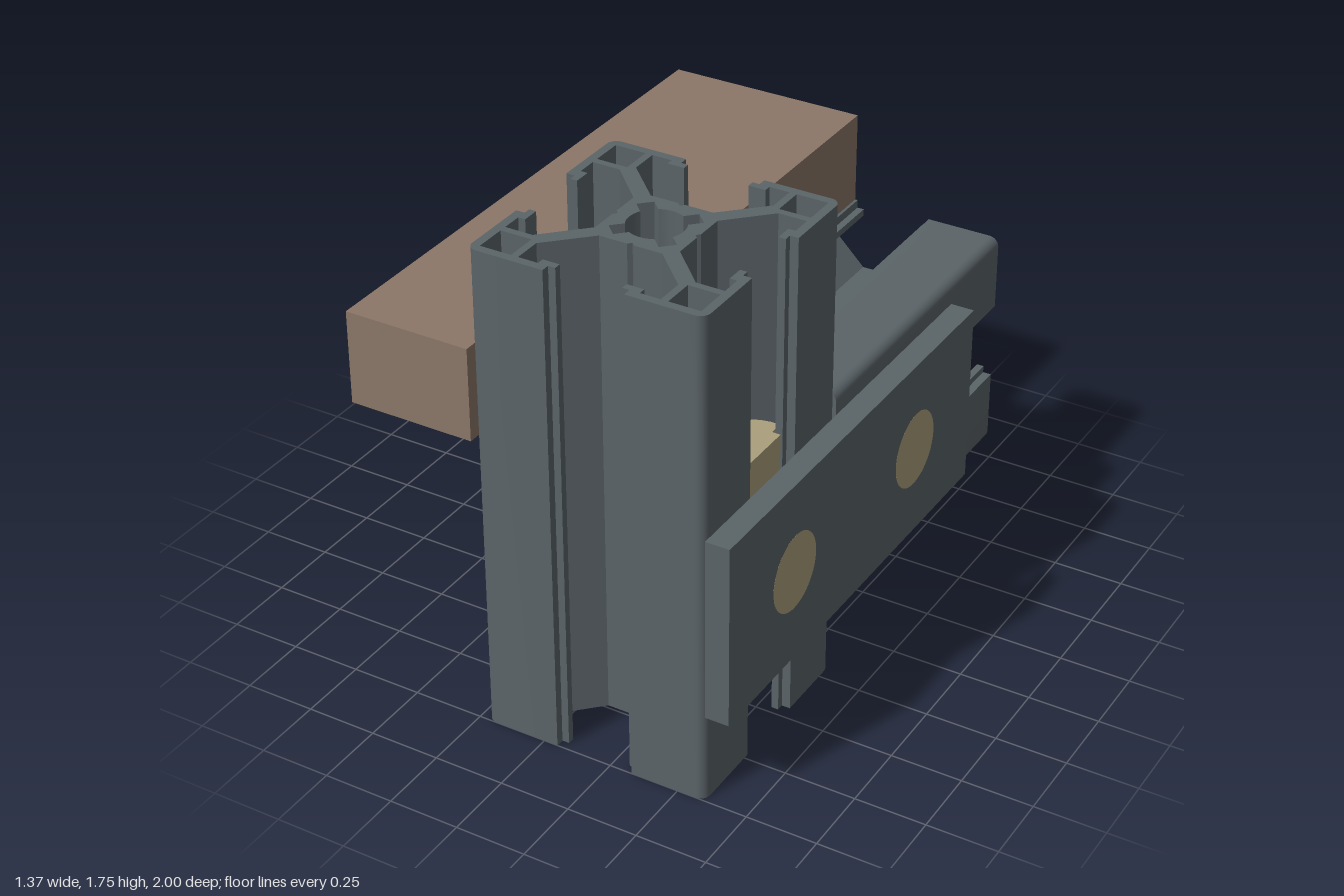
import * as THREE from 'three';
import { toCreasedNormals } from 'three/addons/utils/BufferGeometryUtils.js';

const V = (x, y) => new THREE.Vector2(x, y);
const CX = 0.19, CZ = 0.59, CY = 0.66; // axes of the two slotted beams

// Slotted beam section: one eighth, mirrored on the diagonal, turned four times
function beamShape() {
  const eighth = [
    [0.136, 0], [0.148, 0.012], [0.148, 0.11], [0.282, 0.245], [0.38, 0.245],
    [0.38, 0.175], [0.355, 0.175], [0.355, 0.115], [0.38, 0.115], [0.38, 0.14], [0.41, 0.14],
  ];
  for (let i = 0; i <= 3; i++) {
    const a = (i / 3) * Math.PI / 4, r = 0.035;
    eighth.push([0.41 - r + r * Math.cos(a), 0.41 - r + r * Math.sin(a)]);
  }
  const mirrored = eighth.slice(1, -1).reverse().map(([x, y]) => [y, x]);
  const quarter = [...eighth, ...mirrored].map(([x, y]) => V(x, y));
  const outline = [], core = [];
  for (let k = 0; k < 4; k++) {
    const turn = k * Math.PI / 2;
    outline.push(...quarter.map((p) => p.clone().rotateAround(V(0, 0), turn)));
    // Round bore with diagonal keyways
    const r = 0.095, w = 0.028, gap = Math.asin(w / r), diag = turn + Math.PI / 4;
    const inner = Math.sqrt(r * r - w * w);
    for (const [u, v] of [[inner, -w], [0.14, -w], [0.14, w], [inner, w]])
      core.push(V(u, v).rotateAround(V(0, 0), diag));
    for (let i = 1; i < 7; i++) {
      const a = diag + gap + (i / 7) * (Math.PI / 2 - 2 * gap);
      core.push(V(r * Math.cos(a), r * Math.sin(a)));
    }
  }
  const shape = new THREE.Shape(outline);
  shape.holes.push(new THREE.Path(core));
  // Square corner cavities
  for (const sx of [-1, 1]) for (const sy of [-1, 1])
    shape.holes.push(new THREE.Path(
      [[0.27, 0.27], [0.38, 0.27], [0.38, 0.38], [0.27, 0.38]].map(([x, y]) => V(sx * x, sy * y))));
  return shape;
}

// Slot nut section, neck towards +x
function nutShape() {
  const half = [[0.38, 0.075], [0.405, 0.105], [0.435, 0.13], [0.47, 0.15], [0.505, 0.157],
    [0.537, 0.157], [0.537, 0.107], [0.567, 0.107]];
  const pts = [...half, ...half.slice().reverse().map(([x, y]) => [x, -y])];
  return new THREE.Shape(pts.map(([x, y]) => V(x, y)));
}

const extrude = (shape, depth) => toCreasedNormals(
  new THREE.ExtrudeGeometry(shape, { depth, bevelEnabled: false, curveSegments: 32 }), 0.6);

export function createModel() {
  const model = new THREE.Group();
  const steel = new THREE.MeshStandardMaterial({ color: 0x5b6468 });
  const wood = new THREE.MeshStandardMaterial({ color: 0x8b7768 });
  const brass = new THREE.MeshStandardMaterial({ color: 0xaba07c });
  steel.name = 'steel grey';
  wood.name = 'wood brown';
  brass.name = 'brass tan';

  const add = (name, geometry, material, x, y, z) => {
    const mesh = new THREE.Mesh(geometry, material);
    mesh.name = name;
    mesh.position.set(x, y, z);
    model.add(mesh);
    return mesh;
  };

  // Upright post and horizontal rail
  const section = beamShape();
  add('uprightPost', extrude(section, 1.755).rotateX(-Math.PI / 2), steel, CX, 0, CZ);
  add('horizontalRail', extrude(section, 1.18), steel, CX, CY, -1);

  // Notched board resting on the rail
  const board = new THREE.Shape([[-0.685, -1], [-0.235, -1], [-0.235, -0.16], [0.04, -0.16],
    [0.04, 1], [-0.685, 1]].map(([x, y]) => V(x, y)));
  add('board', extrude(board, 0.33).rotateX(-Math.PI / 2), wood, 0, 1.07, 0);

  // Joining plate, drilled for the bolts (shape x runs along -z)
  const boltZ = [CZ, -0.23];
  const plate = new THREE.Shape([V(-1, 0.33), V(0.64, 0.33), V(0.64, 0.987), V(-1, 0.987)]);
  for (const z of boltZ)
    plate.holes.push(new THREE.Path().absarc(-z, CY, 0.137, 0, Math.PI * 2, true));
  add('joiningPlate', extrude(plate, 0.085).rotateY(Math.PI / 2), steel, 0.6, 0, 0);

  // Bolts, flush with the plate
  for (const z of boltZ) {
    const head = new THREE.CylinderGeometry(0.137, 0.137, 0.085, 32).rotateZ(-Math.PI / 2);
    add('boltHead', head, brass, 0.6425, CY, z);
    const shaft = new THREE.CylinderGeometry(0.066, 0.066, 0.16, 24).rotateZ(-Math.PI / 2);
    add('boltShaft', shaft, brass, 0.52, CY, z);
  }

  // Slot nuts, one along each beam
  add('postNut', extrude(nutShape(), 0.57).rotateX(-Math.PI / 2), brass, 0, 0.5, CZ);
  add('railNut', extrude(nutShape(), 0.57), brass, 0, CY, -0.39);

  return model;
}
